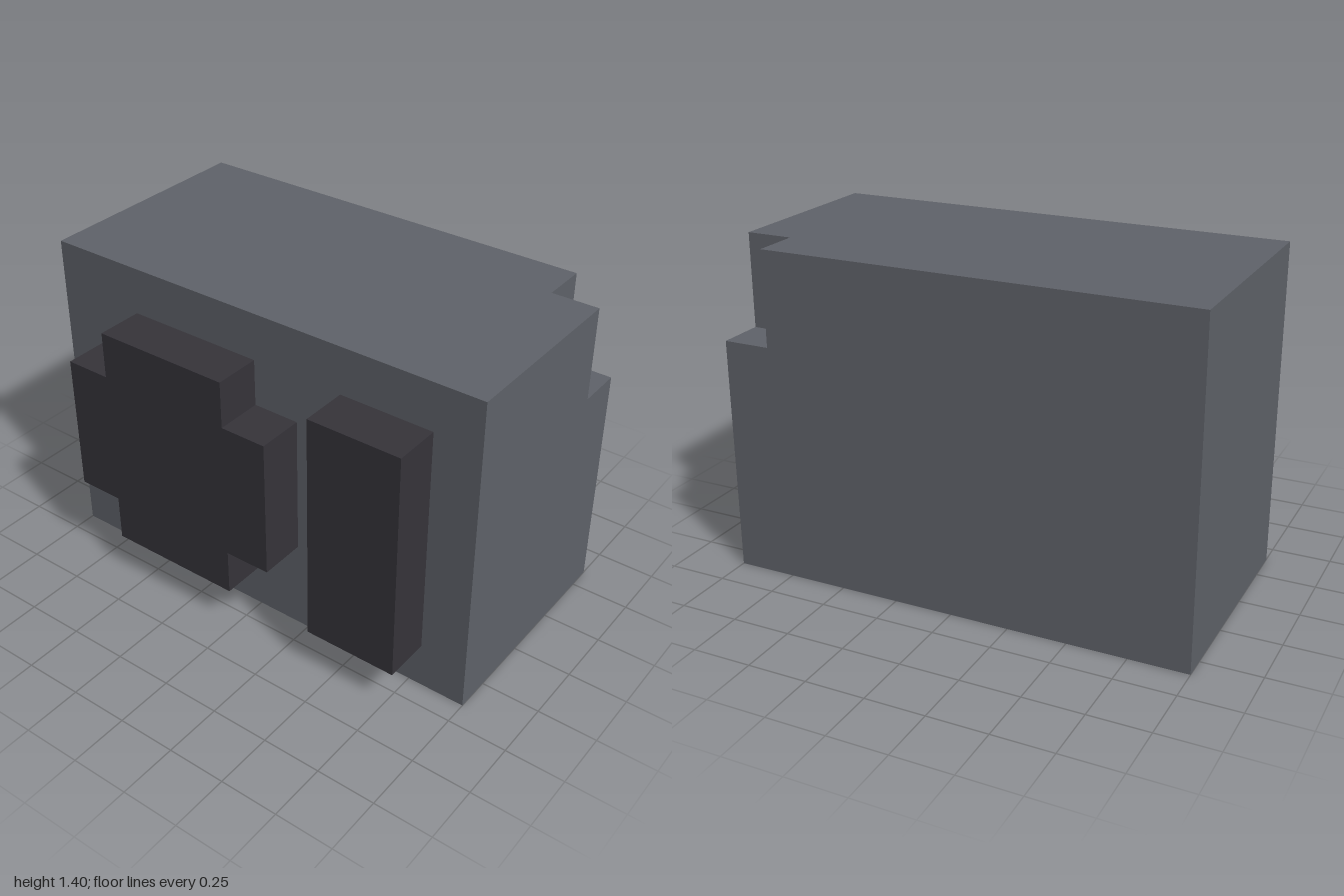
import * as THREE from 'three';

const casing = new THREE.MeshStandardMaterial({ color: 0x60636a });
casing.name = 'casing grey';
const dark = new THREE.MeshStandardMaterial({ color: 0x36343a });
dark.name = 'dark charcoal';

// Flat polygons, each fanned from its first corner
function polygons(faces) {
  const pos = [];
  for (const f of faces)
    for (let i = 1; i < f.length - 1; i++) pos.push(...f[0], ...f[i], ...f[i + 1]);
  const g = new THREE.BufferGeometry();
  g.setAttribute('position', new THREE.Float32BufferAttribute(pos, 3));
  g.computeVertexNormals();
  return g;
}

// Box with a notch cut from its upper back left corner
function notchedBox() {
  const L = -1, R = 1, T = 1.4, F = 0.4, B = -0.6; // outer planes
  const x = 0.8, t = 1, b = -0.4; // notch planes
  return polygons([
    [[L, 0, F], [R, 0, F], [R, T, F], [L, T, F]], // front
    [[L, 0, B], [L, 0, F], [L, T, F], [L, T, B]], // right side
    [[L, 0, B], [R, 0, B], [R, 0, F], [L, 0, F]], // bottom
    [[x, T, b], [x, T, B], [L, T, B], [L, T, F], [R, T, F], [R, T, b]], // top
    [[R, t, b], [R, T, b], [R, T, F], [R, 0, F], [R, 0, B], [R, t, B]], // left side
    [[x, t, B], [R, t, B], [R, 0, B], [L, 0, B], [L, T, B], [x, T, B]], // back
    [[x, t, b], [R, t, b], [R, t, B], [x, t, B]], // notch floor
    [[x, t, b], [x, t, B], [x, T, B], [x, T, b]], // notch side wall
    [[R, t, b], [x, t, b], [x, T, b], [R, T, b]], // notch inner wall
  ]);
}

export function createModel() {
  const model = new THREE.Group();
  const add = (name, geometry, material, x, y, z) => {
    const mesh = new THREE.Mesh(geometry, material);
    mesh.name = name;
    mesh.position.set(x, y, z);
    model.add(mesh);
  };

  add('casing', notchedBox(), casing, 0, 0, 0);

  // Stepped round block: a square with its corners cut away
  const o = 0.5, i = 0.3;
  const outline = [[o, -i], [o, i], [i, i], [i, o], [-i, o], [-i, i],
    [-o, i], [-o, -i], [-i, -i], [-i, -o], [i, -o], [i, -i]];
  const shape = new THREE.Shape(outline.map(([x, y]) => new THREE.Vector2(x, y)));
  const round = new THREE.ExtrudeGeometry(shape, { depth: 0.2, bevelEnabled: false });
  add('roundFrontBlock', round, dark, -0.3, 0.7, 0.4);

  // Tall block beside it
  add('tallFrontBlock', new THREE.BoxGeometry(0.4, 1, 0.2), dark, 0.6, 0.7, 0.5);

  return model;
}
